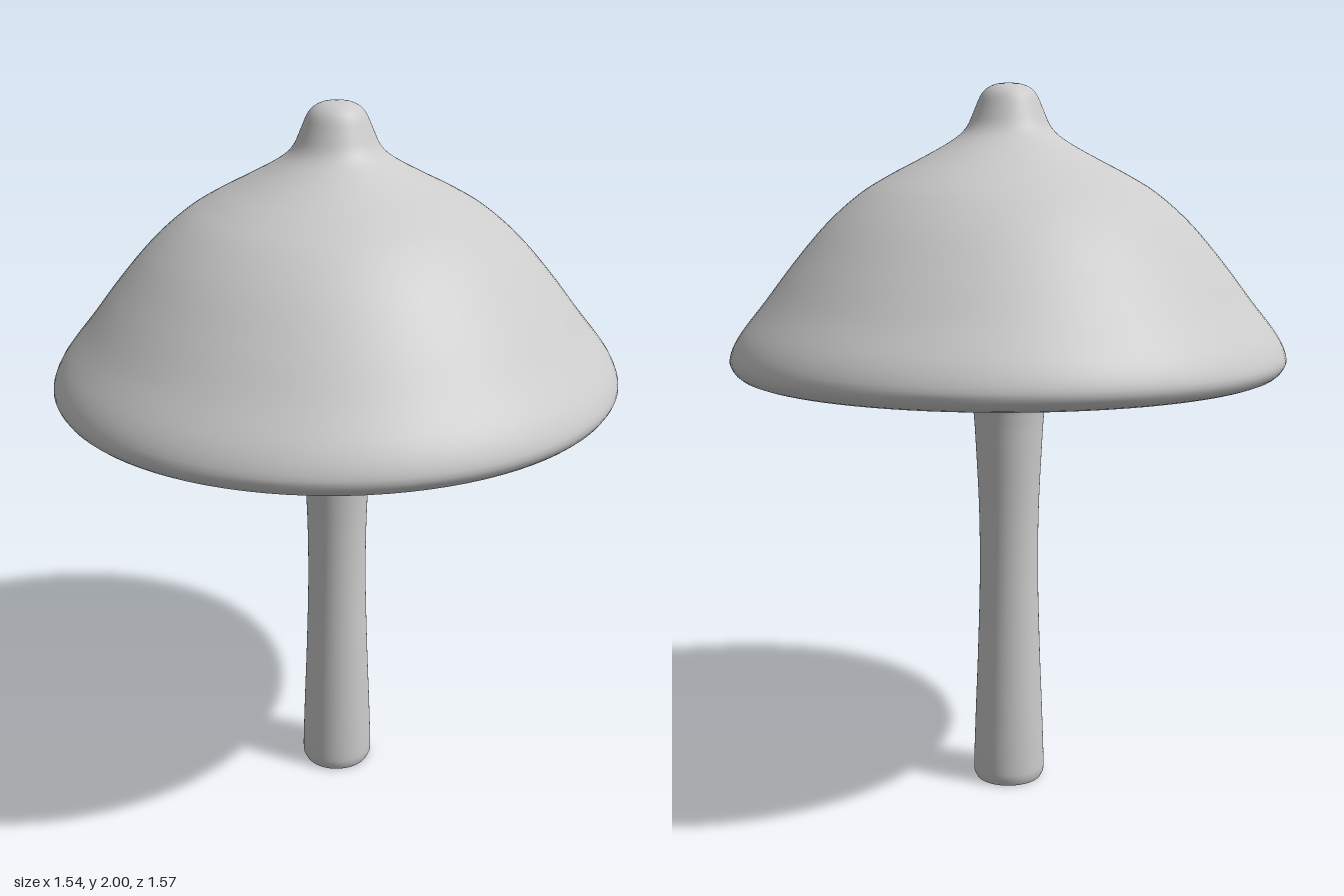
import * as THREE from 'three';

const material = new THREE.MeshStandardMaterial({ color: 0xcccccc, side: THREE.DoubleSide });
const DEPTH = 1.02; // slightly oval in plan

// Revolves a smooth curve through [radius, height] points, listed from the underside up.
function revolve(name, profile, rows) {
  const curve = new THREE.SplineCurve(profile.map(([r, y]) => new THREE.Vector2(r, y)));
  const points = curve.getSpacedPoints(rows);
  points.forEach((p) => { p.x = Math.max(p.x, 0); });
  const mesh = new THREE.Mesh(new THREE.LatheGeometry(points, 96), material);
  mesh.name = name;
  mesh.scale.z = DEPTH;
  return mesh;
}

export function createModel() {
  const group = new THREE.Group();
  group.name = 'mushroom';

  // Cap: hollow underside, rolled rim, sloping dome and a rounded knob
  group.add(revolve('cap', [
    [0.46, 1.295], [0.5, 1.285], [0.55, 1.255], [0.61, 1.226], [0.68, 1.211],
    [0.735, 1.213], [0.76, 1.232], [0.767, 1.262], [0.74, 1.32], [0.67, 1.41],
    [0.59, 1.515], [0.5, 1.62], [0.41, 1.7], [0.33, 1.75], [0.25, 1.792],
    [0.18, 1.83], [0.135, 1.86], [0.112, 1.887], [0.095, 1.925], [0.073, 1.972],
    [0.042, 1.994], [0, 2],
  ], 110));

  // Stem: waisted shaft that flares into the underside of the cap
  group.add(revolve('stem', [
    [0.094, 0], [0.101, 0.012], [0.102, 0.05], [0.097, 0.2], [0.09, 0.38],
    [0.084, 0.6], [0.085, 0.8], [0.094, 1.0], [0.1, 1.09], [0.108, 1.13],
    [0.14, 1.158], [0.2, 1.18], [0.29, 1.214], [0.38, 1.255], [0.475, 1.297],
  ], 90));

  // Flat foot closing the stem
  const foot = new THREE.Mesh(new THREE.CircleGeometry(0.094, 96), material);
  foot.name = 'stemFoot';
  foot.rotation.x = Math.PI / 2;
  foot.scale.y = DEPTH;
  group.add(foot);

  return group;
}
